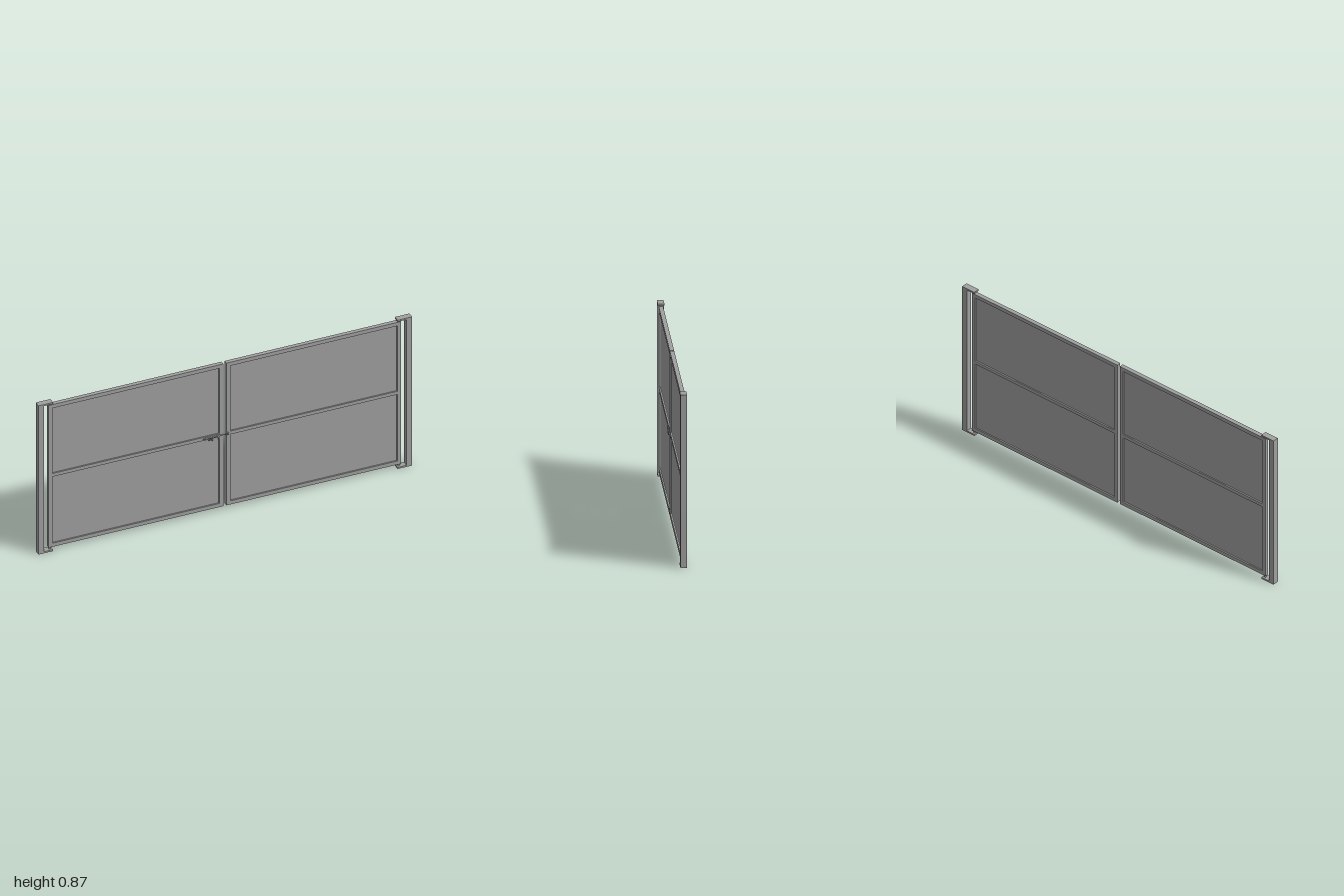
import * as THREE from 'three';

const steel = new THREE.MeshStandardMaterial({ color: 0xa0a0a0 });
steel.name = 'grey steel';

const Z = -0.0015; // middle plane of posts and leaves

function add(parent, name, geometry, x = 0, y = 0, z = 0) {
  const mesh = new THREE.Mesh(geometry, steel);
  mesh.name = name;
  mesh.position.set(x, y, z);
  parent.add(mesh);
  return mesh;
}

// Box given by its limits in x and y, centred on z
function slab(parent, name, x0, x1, y0, y1, depth, z = Z) {
  return add(parent, name, new THREE.BoxGeometry(x1 - x0, y1 - y0, depth),
    (x0 + x1) / 2, (y0 + y1) / 2, z);
}

function rectangle(path, x0, x1, y0, y1) {
  path.moveTo(x0, y0);
  path.lineTo(x1, y0);
  path.lineTo(x1, y1);
  path.lineTo(x0, y1);
  path.closePath();
  return path;
}

// One leaf: a frame with a middle rail and two recessed sheets
function buildLeaf(side) {
  const leaf = new THREE.Group();
  const span = (a, b) => (side > 0 ? [a, b] : [-b, -a]);
  const [x0, x1] = span(0.008, 0.943);
  const [h0, h1] = span(0.03, 0.923);
  const openings = [[0.043, 0.433], [0.452, 0.835]];

  const outline = rectangle(new THREE.Shape(), x0, x1, 0.022, 0.856);
  for (const [y0, y1] of openings) {
    outline.holes.push(rectangle(new THREE.Path(), h0, h1, y0, y1));
  }
  const depth = 0.022;
  add(leaf, 'leafFrame', new THREE.ExtrudeGeometry(outline, { depth, bevelEnabled: false }), 0, 0, Z - depth / 2);
  for (const [y0, y1] of openings) slab(leaf, 'sheetPanel', h0, h1, y0, y1, 0.007);
  return leaf;
}

// One post with its top and bottom hinge plates and pivot pins
function buildPost(side) {
  const post = new THREE.Group();
  const span = (a, b) => (side > 0 ? [a, b] : [-b, -a]);
  slab(post, 'postBody', ...span(0.97, 1), 0, 0.872, 0.033);
  for (const [y0, y1, p0, p1] of [[0, 0.009, 0.009, 0.022], [0.863, 0.872, 0.856, 0.863]]) {
    slab(post, 'hingePlate', ...span(0.922, 0.97), y0, y1, 0.033);
    add(post, 'hingePin', new THREE.CylinderGeometry(0.006, 0.006, p1 - p0, 16),
      side * 0.934, (p0 + p1) / 2, Z);
  }
  return post;
}

// Sliding bolt on the front of the middle rail
function buildBolt() {
  const bolt = new THREE.Group();
  const y = 0.444, z = 0.0138;
  const rod = add(bolt, 'boltRod', new THREE.CylinderGeometry(0.0032, 0.0032, 0.135, 12), -0.0515, y, z);
  rod.rotation.z = Math.PI / 2;
  for (const x of [-0.1, -0.035, 0.014]) {
    slab(bolt, 'boltKeeper', x - 0.005, x + 0.005, y - 0.006, y + 0.006, 0.0088, 0.0136);
  }
  const handle = add(bolt, 'boltHandle', new THREE.CylinderGeometry(0.0025, 0.0025, 0.022, 10), -0.072, y - 0.01, z);
  handle.rotation.z = 0.35;
  slab(bolt, 'boltTab', -0.088, -0.066, 0.428, 0.432, 0.004, z);
  slab(bolt, 'boltHasp', -0.038, -0.032, 0.424, 0.441, 0.004, z);
  return bolt;
}

export function createModel() {
  const gate = new THREE.Group();
  gate.name = 'doubleGate';
  for (const side of [-1, 1]) {
    const label = side > 0 ? 'left' : 'right';
    const leaf = buildLeaf(side);
    leaf.name = label + 'Leaf';
    const post = buildPost(side);
    post.name = label + 'Post';
    gate.add(leaf, post);
  }
  const bolt = buildBolt();
  bolt.name = 'slidingBolt';
  gate.add(bolt);
  return gate;
}
